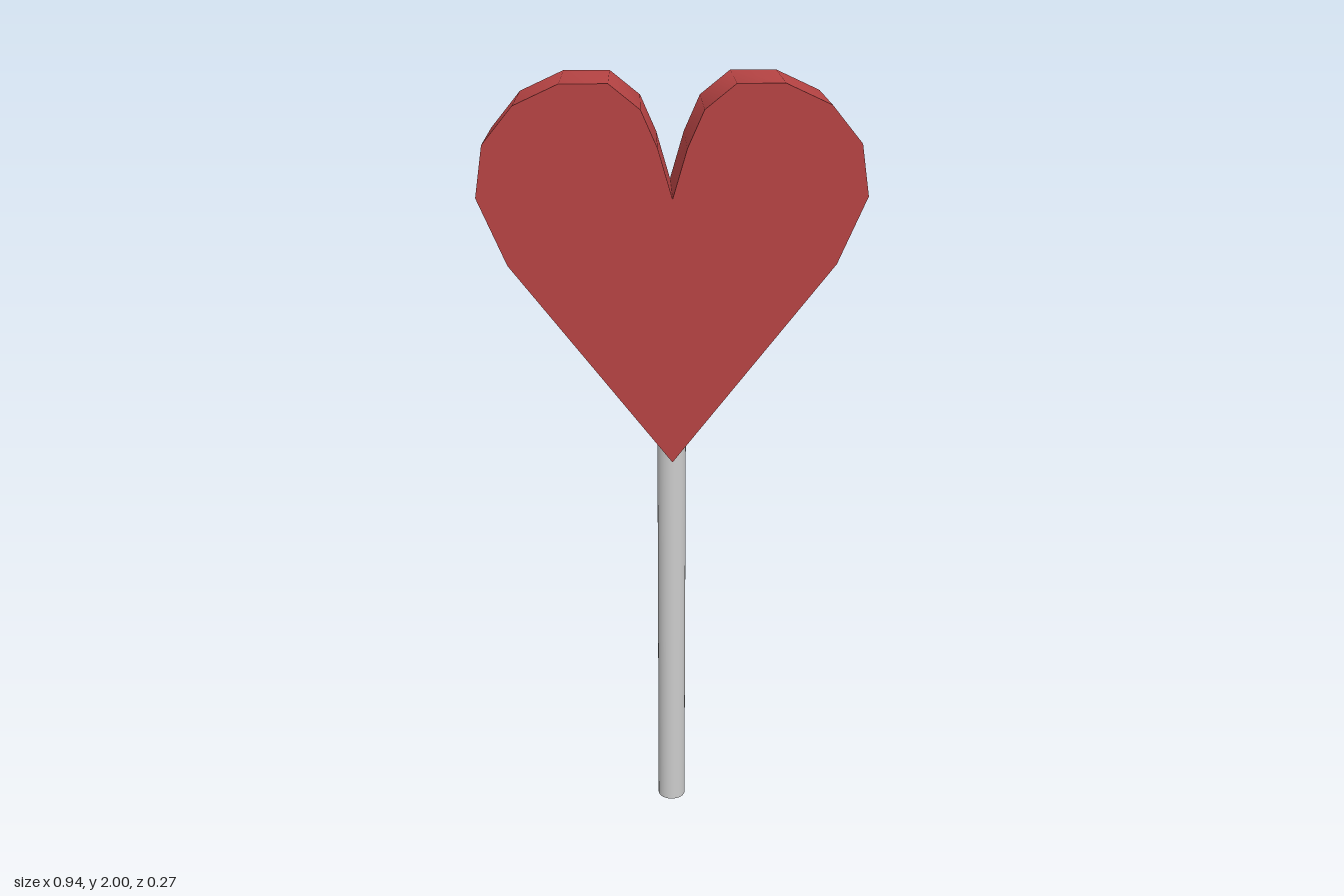
import * as THREE from 'three';
import { toCreasedNormals } from 'three/addons/utils/BufferGeometryUtils.js';

export function createModel() {
  const model = new THREE.Group();

  // Heart: half outline from notch to tip, mirrored and extruded
  const half = [
    [0, 1.73], [0.035, 1.85], [0.075, 1.94], [0.15, 2], [0.265, 2],
    [0.375, 1.95], [0.45, 1.86], [0.47, 1.735], [0.4, 1.57], [0, 1.055],
  ];
  const mirrored = half.slice(1, -1).reverse().map(([x, y]) => [-x, y]);
  const outline = [...half, ...mirrored].map(([x, y]) => new THREE.Vector2(x, y));
  const depth = 0.27;
  const heartGeometry = new THREE.ExtrudeGeometry(new THREE.Shape(outline), { depth, bevelEnabled: false });
  heartGeometry.translate(0, 0, -depth / 2);
  const heart = new THREE.Mesh(
    toCreasedNormals(heartGeometry, Math.PI / 3),
    new THREE.MeshStandardMaterial({ color: 0xb54343 })
  );
  heart.name = 'heart';
  model.add(heart);

  // Stick: set slightly forward, its top end buried in the heart
  const height = 1.14;
  const stick = new THREE.Mesh(
    new THREE.CylinderGeometry(0.037, 0.037, height, 32),
    new THREE.MeshStandardMaterial({ color: 0xcccccc })
  );
  stick.position.set(0, height / 2, 0.042);
  stick.name = 'stick';
  model.add(stick);

  return model;
}
